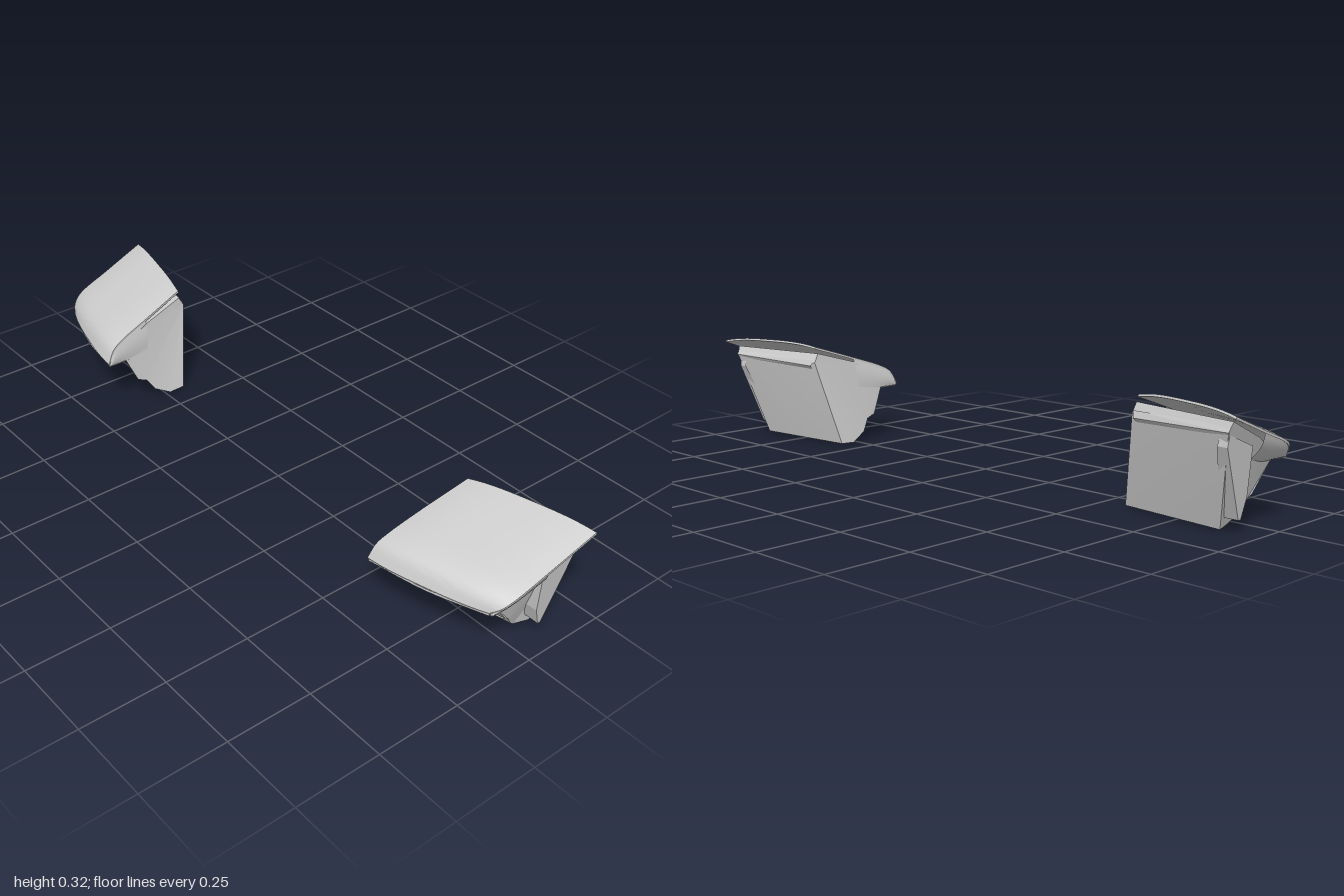
import * as THREE from 'three';
import { toCreasedNormals } from 'three/addons/utils/BufferGeometryUtils.js';

const material = new THREE.MeshStandardMaterial({ color: 0xcccccc, side: THREE.DoubleSide });
const mix = (a, b, t) => a.map((v, i) => v + (b[i] - v) * t);
const add = (a, b) => a.map((v, i) => v + b[i]);

// Mesh from a list of triangles; side = -1 mirrors it in x
function meshOf(name, tris, side, crease) {
  const pos = [];
  for (const t of tris) {
    const order = side > 0 ? t : [t[0], t[2], t[1]];
    for (const p of order) pos.push(p[0] * side, p[1], p[2]);
  }
  let g = new THREE.BufferGeometry();
  g.setAttribute('position', new THREE.Float32BufferAttribute(pos, 3));
  g = toCreasedNormals(g, crease);
  const m = new THREE.Mesh(g, material);
  m.name = name;
  return m;
}

// Triangles of a surface running through rows of points
function skin(rows) {
  const tris = [];
  for (let i = 0; i + 1 < rows.length; i++)
    for (let j = 0; j + 1 < rows[i].length; j++) {
      const a = rows[i][j], b = rows[i + 1][j], c = rows[i + 1][j + 1], d = rows[i][j + 1];
      tris.push([a, b, c], [a, c, d]);
    }
  return tris;
}

// Smooth curve through a few points
function curve(points, n) {
  return new THREE.CatmullRomCurve3(points.map(p => new THREE.Vector3(...p)))
    .getPoints(n).map(v => v.toArray());
}

// Panel on four corners with a rounded recess sunk into it
function recessedPanel(a0, a1, b0, b1, w, h, depth) {
  const at = (u, v) => mix(mix(a0, b0, u), mix(a1, b1, u), v);
  const sink = [-0.15 * depth, 0.3 * depth, -0.9 * depth];
  const rows = [[], [], [], []];
  for (let k = 0; k <= 40; k++) {
    const c = Math.cos(k * Math.PI / 20), s = Math.sin(k * Math.PI / 20);
    const m = Math.max(Math.abs(c), Math.abs(s));
    const ru = Math.sign(c) * Math.abs(c) ** 0.4, rv = Math.sign(s) * Math.abs(s) ** 0.4;
    rows[0].push(at(0.5 + 0.5 * c / m, 0.5 + 0.5 * s / m));
    rows[1].push(at(0.5 + 0.5 * w * ru, 0.5 + 0.5 * h * rv));
    rows[2].push(add(at(0.5 + 0.47 * w * ru, 0.5 + 0.44 * h * rv), sink));
    rows[3].push(add(at(0.5, 0.5), sink));
  }
  return skin(rows);
}

// Cover edges, back to front
const coverInner = [[0.645, 0.308, -0.108], [0.625, 0.264, 0.03], [0.612, 0.228, 0.135], [0.606, 0.208, 0.168], [0.6, 0.17, 0.19]];
const coverOuter = [[1, 0.307, -0.195], [0.99, 0.256, -0.06], [0.98, 0.212, 0.055], [0.966, 0.19, 0.085], [0.942, 0.17, 0.102]];

// Body profiles, from the front top edge down, back and up again
const bodyInner = [[0.605, 0.157, 0.125], [0.597, 0.078, 0.09], [0.595, 0.066, 0.06], [0.585, 0.028, 0.035], [0.577, 0, -0.015],
  [0.575, 0.003, -0.065], [0.635, 0.26, -0.12], [0.637, 0.288, -0.105], [0.622, 0.25, 0.03], [0.612, 0.205, 0.13]];
const bodyOuter = [[0.925, 0.157, 0.065], [0.915, 0.08, 0.005], [0.91, 0.066, -0.012], [0.9, 0.035, -0.032], [0.89, 0.012, -0.055],
  [0.9, 0.006, -0.105], [0.965, 0.262, -0.175], [0.972, 0.288, -0.165], [0.955, 0.23, -0.03], [0.935, 0.185, 0.05]];

function coverTris() {
  const n = 20, cols = 16, rows = [];
  const inner = curve(coverInner, n), outer = curve(coverOuter, n);
  for (let i = 0; i <= n; i++) {
    const top = [], low = [];
    for (let j = 0; j <= cols; j++) {
      const t = j / cols, bow = 1 - Math.abs(2 * t - 1) ** 3;
      const crown = 0.013 * bow * (1 - (i / n) ** 4);
      const p = add(mix(inner[i], outer[i], t), [0, crown, 0.012 * bow * i / n]);
      top.push(p);
      low.push(add(p, [0, -0.006, -0.003]));
    }
    const back = low.slice().reverse();
    const edge = [...low, ...back, low[0]];
    if (i === 0) rows.push(edge);
    rows.push([...top, ...back, top[0]]);
    if (i === n) rows.push(edge);
  }
  return skin(rows);
}

function bodyTris() {
  const n = bodyInner.length, tris = [];
  for (let i = 0; i < n; i++) {
    if (i === 0 || i === 2) continue; // lamp and slot panels go here
    const k = (i + 1) % n;
    tris.push(...skin([[bodyInner[i], bodyOuter[i]], [bodyInner[k], bodyOuter[k]]]));
  }
  // End walls
  for (const [ring, flip] of [[bodyOuter, false], [bodyInner, true]]) {
    const flat = ring.map(p => new THREE.Vector2(-p[2], p[1]));
    for (const [a, b, c] of THREE.ShapeUtils.triangulateShape(flat, []))
      tris.push(flip ? [ring[a], ring[c], ring[b]] : [ring[a], ring[b], ring[c]]);
  }
  return tris;
}

// Raised plate on the outer wall, given as z, y
function sidePlateTris() {
  const outline = [[-0.065, 0.215], [-0.165, 0.255], [-0.17, 0.225], [-0.095, 0.035], [-0.085, 0.035], [-0.068, 0.09], [-0.065, 0.215]];
  return skin([
    outline.map(([z, y]) => [0.885 + 0.2 * y, y, z]),
    outline.map(([z, y]) => [0.942 + 0.08 * y, y, z]),
    outline.map(() => [0.953, 0.14, -0.11]),
  ]);
}

// Curved cheek between the cover edge and the lamp
function cheekTris(topPts, lowPts, bulge) {
  const top = curve(topPts, 12), low = curve(lowPts, 12), rows = [];
  for (let i = 0; i <= 6; i++) {
    const t = i / 6;
    rows.push(top.map((p, j) => add(mix(p, low[j], t), [bulge * Math.sin(Math.PI * t), 0, 0])));
  }
  return skin(rows);
}

// Thin sill below the front of the cover
function sillTris() {
  const front = curve([[0.602, 0, 0.187], [0.775, 0, 0.156], [0.94, 0, 0.1]], 12);
  const rear = front.map((p, j) => mix([0.605, 0, 0.115], [0.925, 0, 0.055], j / 12));
  const y = (row, h) => row.map(p => [p[0], h, p[2]]);
  return skin([y(rear, 0.166), y(front, 0.166), y(front, 0.159), y(rear, 0.157)]);
}

function createLamp(side) {
  const lamp = new THREE.Group();
  lamp.name = side > 0 ? 'leftLamp' : 'rightLamp';
  const [a, b] = [bodyInner, bodyOuter];
  const part = (name, tris, crease) => lamp.add(meshOf(name, tris, side, crease));
  part('cover', coverTris(), 0.6);
  part('body', bodyTris(), 0.15);
  part('lampRecess', recessedPanel(a[0], a[1], b[0], b[1], 0.9, 0.8, 0.022), 0.4);
  part('lowerSlot', recessedPanel(a[2], a[3], b[2], b[3], 0.9, 0.6, 0.012), 0.4);
  part('sidePlate', sidePlateTris(), 0.15);
  part('frontSill', sillTris(), 0.4);
  part('outerCheek', cheekTris(
    [[0.94, 0.167, 0.1], [0.964, 0.188, 0.083], [0.977, 0.208, 0.055], [0.986, 0.252, -0.055]],
    [[0.935, 0.16, 0.098], [0.93, 0.158, 0.06], [0.93, 0.16, 0.01], [0.935, 0.17, -0.05]], 0.012), 0.6);
  part('innerCheek', cheekTris(
    [[0.626, 0.258, 0.03], [0.613, 0.224, 0.135], [0.607, 0.204, 0.167], [0.601, 0.167, 0.188]],
    [[0.61, 0.165, 0.04], [0.606, 0.16, 0.11], [0.604, 0.16, 0.15], [0.602, 0.16, 0.185]], -0.004), 0.6);
  // Tapered rib across the upper back
  part('backRib', skin([
    [[0.64, 0.268, -0.12], [0.968, 0.277, -0.168]],
    [[0.645, 0.25, -0.128], [0.967, 0.262, -0.177]],
    [[0.65, 0.235, -0.115], [0.962, 0.25, -0.17]],
  ]), 0.15);
  return lamp;
}

export function createModel() {
  const model = new THREE.Group();
  model.name = 'lampPair';
  for (const side of [1, -1]) model.add(createLamp(side));
  return model;
}
